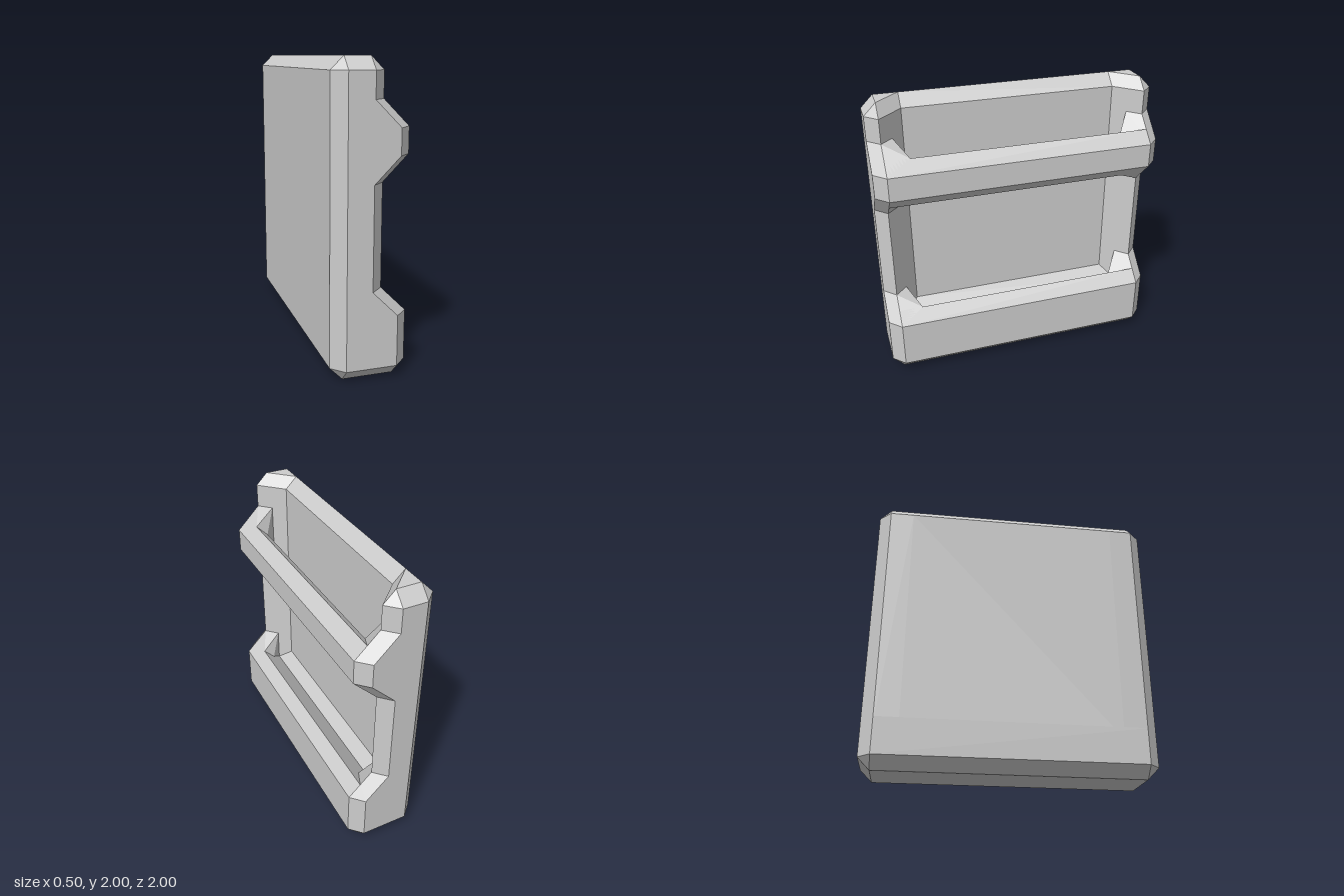
import * as THREE from 'three';
import { ConvexGeometry } from 'three/addons/geometries/ConvexGeometry.js';

const U = 1 / 12; // modelling unit

export function createModel() {
  const group = new THREE.Group();
  const grey = new THREE.MeshStandardMaterial({ color: 0xcccccc });
  grey.name = 'light grey';

  // Convex block from corner points given in modelling units
  function block(name, points) {
    const geo = new ConvexGeometry(points.map(([x, y, z]) => new THREE.Vector3(x * U, y * U, z * U)));
    const mesh = new THREE.Mesh(geo, grey);
    mesh.name = name;
    group.add(mesh);
  }
  // Mirror [x, y, z] points to both ends of z
  const bothEnds = (pts) => pts.flatMap(([x, y, z]) => [[x, y, z], [x, y, -z]]);

  // Back panel with a ridged top edge
  block('backPanel', bothEnds([
    [-3, 3, 9], [-1, 3, 9], [-1, 23, 9], [-2, 24, 9], [-3, 23, 9],
  ]));

  // Base with chamfered edges
  const plan = [[-3, 11], [-2, 12], [2, 12], [3, 11]];
  block('base', bothEnds([
    ...plan.map(([x, z]) => [x, 1, z]),
    ...plan.map(([x, z]) => [x, 4, z]),
    [-2, 0, 11], [2, 0, 11],
  ]));

  // Trough wall against the panel, and the raised lower lip
  block('troughWall', bothEnds([[-2, 3.5, 9], [0, 4, 10], [-1, 5, 9], [-2, 5, 9], [0, 3.5, 10]]));
  block('lowerLip', bothEnds([[0, 4, 10], [3, 4, 11], [3, 5, 11], [2, 6, 11], [1, 5, 9]]));

  // Upper rail, a bar with bevelled edges
  block('upperRail', bothEnds([
    [3, 17, 11], [3, 19, 11], [2, 20, 11], [1, 19, 9], [1, 17, 9], [2, 16, 11],
  ]));

  const postPlan = [[-3, 11], [-2, 12], [0, 12], [1, 11], [-1, 9], [-3, 9]];
  for (const s of [1, -1]) {
    const side = s > 0 ? 'front' : 'rear';
    const place = (pts) => pts.map(([x, y, z]) => [x, y, z * s]);

    // Side post with tapered cap
    block(side + 'Post', place([
      ...postPlan.map(([x, z]) => [x, 3, z]),
      ...postPlan.map(([x, z]) => [x, 23, z]),
      [-2, 24, 11], [0, 24, 11], [-2, 24, 9],
    ]));

    // Arm joining post and lower lip
    block(side + 'LowerArm', place([
      [0, 4, 12], [2, 4, 12], [2, 5, 12], [0, 7, 12],
      [3, 4, 11], [3, 5, 11], [1, 7, 11],
      [0, 7, 10], [1, 5, 9], [0, 4, 10],
      [2, 6, s > 0 ? 9 : 11],
    ]));

    // Arm joining post and upper rail
    block(side + 'UpperArm', place([
      [0, 15, 12], [2, 17, 12], [2, 19, 12], [0, 21, 12],
      [1, 15, 11], [3, 17, 11], [3, 19, 11], [1, 21, 11],
      [0, 15, 10], [1, 17, 9], [1, 19, 9], [0, 21, 10],
      [2, s > 0 ? 20 : 16, 9],
    ]));
  }
  return group;
}
